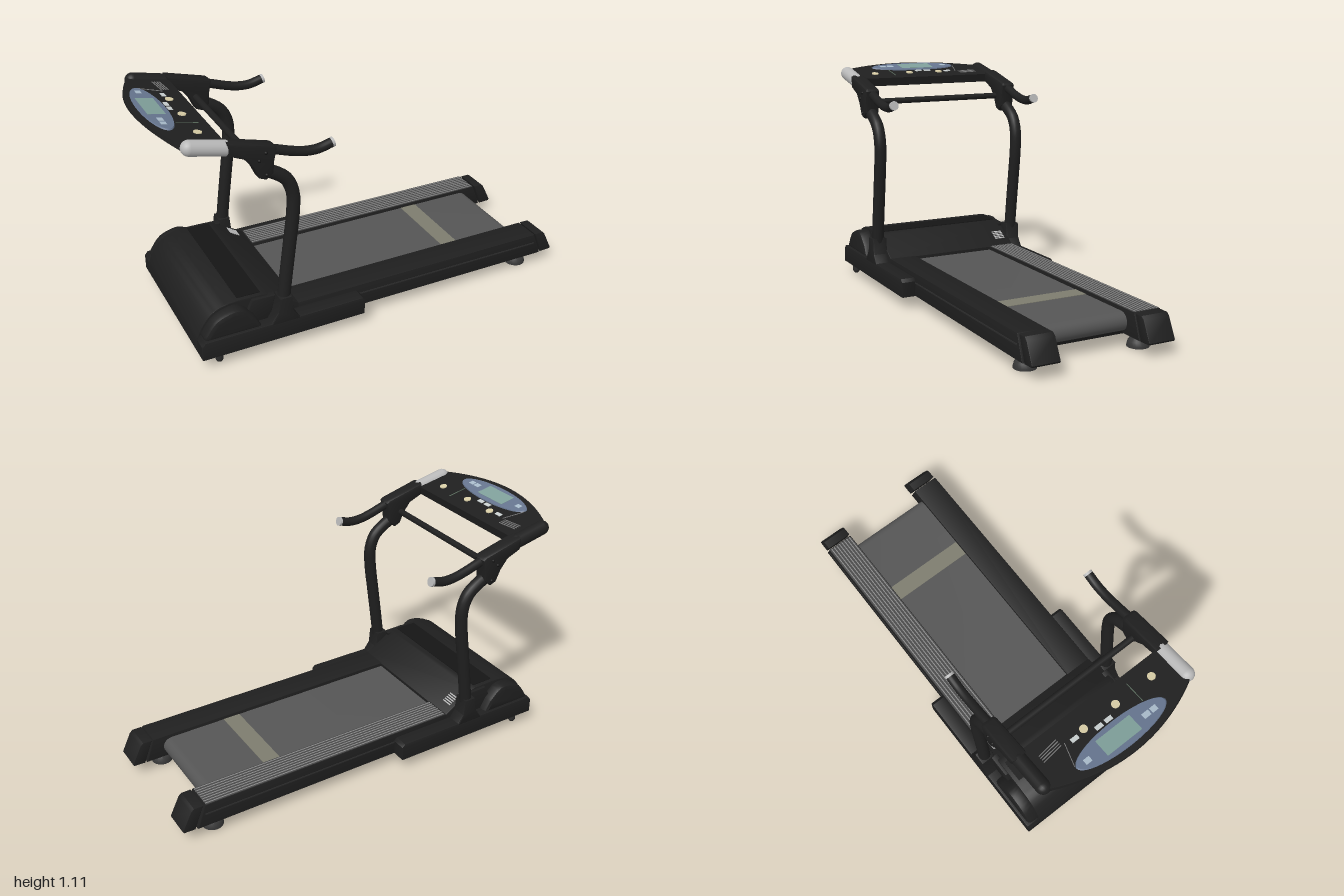
import * as THREE from 'three';
import { toCreasedNormals } from 'three/addons/utils/BufferGeometryUtils.js';

const BLACK = 0x1f1f1f, DARK = 0x151515, BELT = 0x555555, LIGHT = 0xb8b8b8;
const V = (x, y, z) => new THREE.Vector3(x, y, z);

export function createModel() {
  const root = new THREE.Group();
  const materials = {};
  const mat = c => (materials[c] ??= new THREE.MeshStandardMaterial({ color: c }));

  function add(name, geo, color, pos = [0, 0, 0], parent = root) {
    const m = new THREE.Mesh(geo, mat(color));
    m.name = name;
    m.position.set(...pos);
    parent.add(m);
    return m;
  }
  const box = (name, size, pos, color, parent) => add(name, new THREE.BoxGeometry(...size), color, pos, parent);

  // Side profile (x, y) extruded between two z values, with a small bevel
  function prism(name, pts, z0, z1, color = BLACK, bevel = 0.004) {
    const shape = new THREE.Shape(pts.map(p => new THREE.Vector2(...p)));
    const lo = Math.min(z0, z1), depth = Math.abs(z1 - z0);
    const geo = new THREE.ExtrudeGeometry(shape, {
      depth: depth - 2 * bevel, bevelEnabled: bevel > 0, bevelSize: bevel,
      bevelThickness: bevel, bevelOffset: -bevel, bevelSegments: 2
    });
    return add(name, toCreasedNormals(geo, 0.6), color, [0, 0, lo + bevel]);
  }
  const tube = (name, pts, r, color, z) =>
    add(name, new THREE.TubeGeometry(new THREE.CatmullRomCurve3(pts.map(p => V(p[0], p[1], 0))), 32, r, 18), color, [0, 0, z]);
  // Smooth points of a curve through a few profile points
  const smooth = (pts, n) => new THREE.SplineCurve(pts.map(p => new THREE.Vector2(...p))).getPoints(n).map(p => [p.x, p.y]);

  // Running belt with rounded rear roller, stripe and underside plate
  const roll = [];
  for (let i = 0; i <= 12; i++) {
    const a = -Math.PI / 2 + Math.PI * i / 12;
    roll.push([0.797 + 0.043 * Math.cos(a), 0.114 + 0.043 * Math.sin(a)]);
  }
  prism('belt', [[-0.45, 0.071], ...roll, [-0.45, 0.157]], -0.213, 0.213, BELT, 0);
  box('beltStripe', [0.085, 0.002, 0.424], [0.478, 0.158, 0], 0x7d7c6e);
  box('undersidePlate', [1.7, 0.012, 0.5], [-0.04, 0.066, 0], DARK);

  // Motor hood
  const hood = [[-0.9, 0.06], ...smooth([[-0.9, 0.13], [-0.875, 0.185], [-0.83, 0.24], [-0.77, 0.268], [-0.7, 0.275]], 14),
    [-0.59, 0.273], [-0.56, 0.265], [-0.41, 0.172], [-0.41, 0.06]];
  prism('motorHood', hood, -0.35, 0.35);
  box('hoodTopPanel', [0.11, 0.004, 0.66], [-0.645, 0.2745, 0], DARK);
  const vent = new THREE.Group();
  vent.name = 'hoodVent';
  vent.position.set(-0.475, 0.2145, -0.298);
  vent.rotation.z = -0.555;
  root.add(vent);
  for (let i = 0; i < 5; i++) box('ventSlot', [0.006, 0.004, 0.054], [(i - 2) * 0.012, 0, 0], LIGHT, vent);

  for (const s of [1, -1]) {
    // Foot rail, side trim and slanted end cap
    prism('footRail', [[-0.42, 0.06], [0.93, 0.06], [0.888, 0.174], [-0.42, 0.174]], s * 0.213, s * 0.35);
    box('railTrim', [1.0, 0.006, 0.006], [0.39, 0.127, s * 0.35], 0x2c2c2c);
    prism('endCap', [[0.94, 0.06], [0.995, 0.062], [1, 0.07], [0.955, 0.162], [0.94, 0.174], [0.896, 0.174]], s * 0.213, s * 0.346);

    // Lower side cover, arched hood cheek and post boot
    prism('sideCover', [[-0.9, 0.06], [-0.11, 0.06], [-0.105, 0.135], [-0.12, 0.15], [-0.885, 0.15], [-0.9, 0.13]], s * 0.345, s * 0.42, BLACK, 0.006);
    prism('hoodCheek', [[-0.88, 0.14], ...smooth([[-0.88, 0.16], [-0.83, 0.228], [-0.76, 0.258], [-0.7, 0.255], [-0.64, 0.2]], 14), [-0.61, 0.14]],
      s * 0.33, s * 0.408, BLACK, 0.02);
    prism('postBoot', [[-0.58, 0.14], [-0.43, 0.14], [-0.465, 0.19], [-0.472, 0.27], [-0.53, 0.27], [-0.54, 0.2]], s * 0.345, s * 0.42, BLACK, 0.006);
    prism('bootBrace', [[-0.7, 0.14], [-0.56, 0.14], [-0.53, 0.262], [-0.64, 0.265]], s * 0.33, s * 0.365);

    // Curved upright, bracket and handlebar
    tube('upright', [[-0.505, 0.2], [-0.485, 0.36], [-0.463, 0.52], [-0.442, 0.68], [-0.441, 0.77], [-0.468, 0.84], [-0.525, 0.885], [-0.6, 0.92]], 0.0295, BLACK, s * 0.383);
    const bracket = [[-0.73, 1.015], [-0.73, 1.075], [-0.53, 1.022], [-0.517, 1.01], [-0.53, 0.955], [-0.535, 0.9],
      [-0.57, 0.872], [-0.6, 0.885], [-0.625, 0.94], [-0.66, 0.985]];
    prism('handleBracket', bracket, s * 0.346, s * 0.421, BLACK, 0.014);
    for (const [x, y] of [[-0.57, 0.9], [-0.6, 0.97], [-0.57, 1.0]])
      add('bracketBolt', new THREE.SphereGeometry(0.008, 10, 8), DARK, [x, y, s * 0.42]);
    tube('handlebar', [[-0.6, 1.01], [-0.52, 0.99], [-0.44, 0.964], [-0.38, 0.95], [-0.32, 0.948], [-0.258, 0.963]], 0.0215, BLACK, s * 0.383);
    const tip = add('handleTip', new THREE.CylinderGeometry(0.022, 0.022, 0.012, 18), LIGHT, [-0.254, 0.964, s * 0.383]);
    tip.rotation.z = -Math.PI / 2 + 0.24;

    // Console side grip with rounded front end; only the left one is pale
    const grip = add('consoleSideGrip', new THREE.CapsuleGeometry(0.034, 0.15, 8, 20), s > 0 ? LIGHT : BLACK, [-0.806, 1.059, s * 0.383]);
    grip.rotation.z = Math.PI / 2 - 0.22;

    // Transport wheel under the front, domed rear foot
    const wheel = add('frontWheel', new THREE.CapsuleGeometry(0.018, 0.03, 6, 16), 0x2a2a2a, [-0.815, 0.043, s * 0.385]);
    wheel.scale.y = 1;
    const dome = [[0, 0], [0.05, 0], [0.05, 0.008], [0.045, 0.026], [0.033, 0.044], [0.02, 0.053], [0.016, 0.066]];
    add('rearFoot', toCreasedNormals(new THREE.LatheGeometry(dome.map(p => new THREE.Vector2(...p)), 24), 0.7), 0x383838, [0.83, 0, s * 0.28]);
  }

  // Ribbed grip mat on the right rail
  box('railGripMat', [1.29, 0.003, 0.13], [0.238, 0.1745, -0.281], 0x484848);
  for (let i = 0; i < 8; i++) box('gripRib', [1.29, 0.003, 0.005], [0.238, 0.1755, -0.225 - i * 0.016], 0x8a8a8a);

  // Cross bar between the brackets
  const bar = add('crossBar', new THREE.CylinderGeometry(0.015, 0.015, 0.72, 16), BLACK, [-0.6, 0.95, 0]);
  bar.rotation.x = Math.PI / 2;

  // Console: tilted slab with a bowed front edge, thinning towards the lip
  const consoleGroup = new THREE.Group();
  consoleGroup.name = 'console';
  consoleGroup.position.set(-0.72, 1.057, 0);
  consoleGroup.rotation.z = -0.2;
  root.add(consoleGroup);
  const outline = [[0, 0.37], [0, -0.37]];
  for (let i = 0; i <= 24; i++) {
    const z = -0.37 + 0.74 * i / 24;
    outline.push([-0.284 + 0.094 * Math.pow(Math.abs(z) / 0.37, 2), z]);
  }
  const slab = new THREE.ExtrudeGeometry(new THREE.Shape(outline.map(p => new THREE.Vector2(...p)).reverse()), { depth: 1, bevelEnabled: false });
  slab.rotateX(-Math.PI / 2);
  const p = slab.attributes.position;
  for (let i = 0; i < p.count; i++) {
    const bow = 1 - Math.pow(p.getZ(i) / 0.37, 2);
    const bottom = -0.042 + 0.02 * Math.min(1, -p.getX(i) / 0.28) + 0.008 * bow;
    p.setY(i, p.getY(i) > 0.5 ? 0 : bottom);
  }
  slab.computeVertexNormals();
  add('consoleSlab', toCreasedNormals(slab, 0.5), BLACK, [0, 0, 0], consoleGroup);

  // Display and controls, laid out in plan (x from the inner edge, z)
  const panel = add('displayPanel', new THREE.CylinderGeometry(1, 1.03, 0.006, 48), 0x66758f, [-0.192, 0.002, 0], consoleGroup);
  panel.scale.set(0.063, 1, 0.23);
  box('displayScreen', [0.08, 0.003, 0.18], [-0.193, 0.005, -0.015], 0x7f9f9a, consoleGroup);
  for (const [x, z, w, d] of [[-0.196, -0.18, 0.025, 0.03], [-0.196, 0.13, 0.025, 0.035], [-0.196, 0.17, 0.025, 0.03]])
    box('displayKey', [w, 0.003, d], [x, 0.005, z], 0xa9bccb, consoleGroup);
  for (const [x, z] of [[-0.112, -0.05], [-0.112, 0], [-0.09, -0.16]])
    box('squareButton', [0.02, 0.004, 0.036], [x, 0.001, z], 0xc9cfcf, consoleGroup);
  for (const z of [-0.105, 0.065, 0.26])
    add('roundButton', new THREE.CylinderGeometry(0.018, 0.018, 0.006, 20), 0xd8cda6, [-0.08, 0.002, z], consoleGroup);
  for (let i = 0; i < 4; i++)
    box('speakerSlot', [0.004, 0.003, 0.1], [-0.083 + i * 0.011, 0.001, -0.27], 0x777777, consoleGroup).rotation.y = 0.12;
  box('trimLine', [0.1, 0.003, 0.003], [-0.09, 0.001, 0.16], 0x5d7060, consoleGroup);
  box('trimLine', [0.11, 0.003, 0.003], [-0.13, 0.001, -0.22], 0x777777, consoleGroup).rotation.y = -0.3;

  return root;
}
